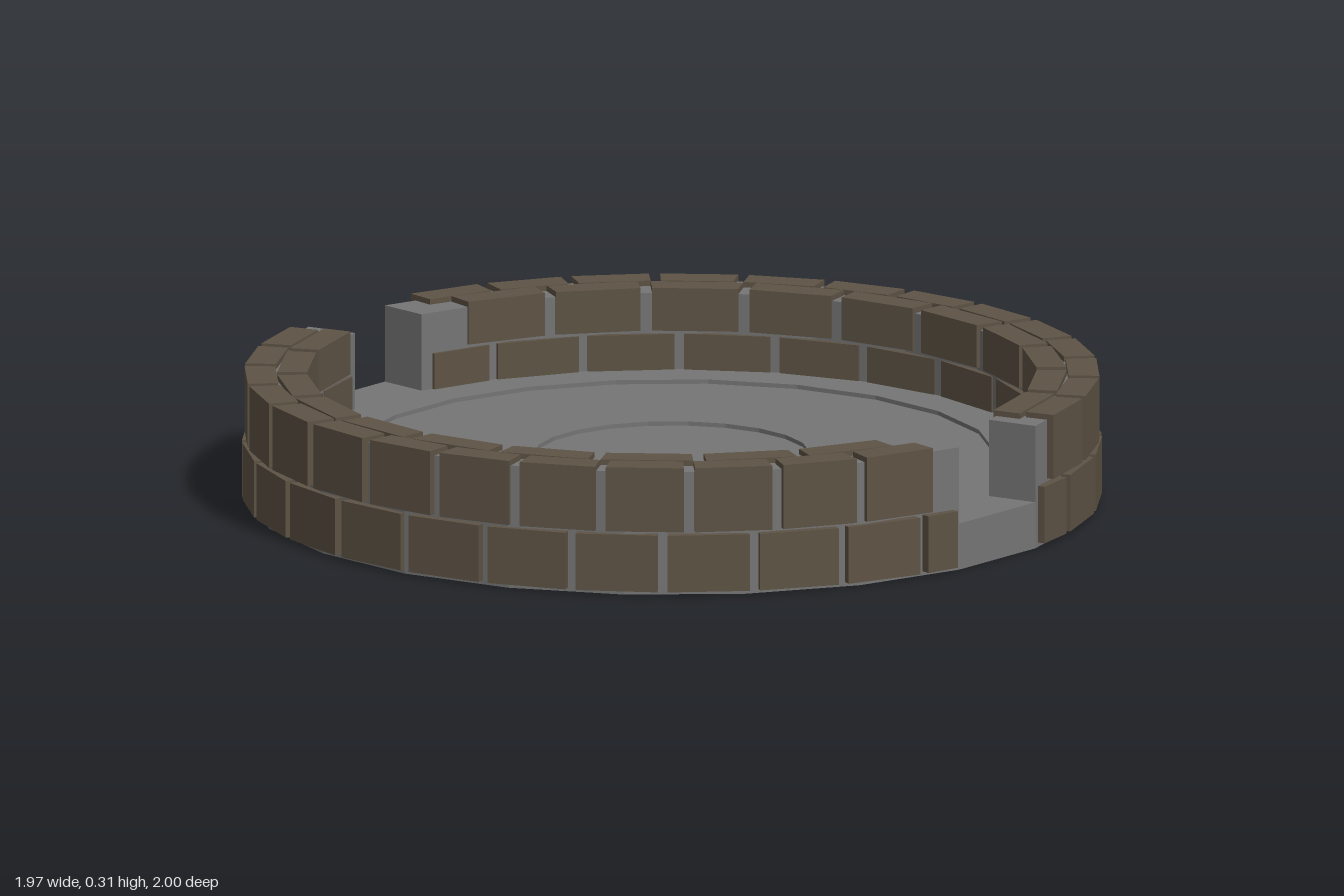
import * as THREE from 'three';

const SIDES = 22;
const STEP = (Math.PI * 2) / SIDES;
const rad = (d) => (d * Math.PI) / 180;

const stone = new THREE.MeshStandardMaterial({ color: 0x757575, flatShading: true });
const brick = new THREE.MeshStandardMaterial({ color: 0x5e5345, flatShading: true });

// Arc-shaped block between two radii and two heights; angle 0 points to +z
function sector(r0, r1, a0, a1, y0, y1, segments = 1) {
  const at = (r, i) => {
    const a = a0 + ((a1 - a0) * i) / segments;
    return new THREE.Vector2(r * Math.sin(a), -r * Math.cos(a));
  };
  const points = [];
  for (let i = 0; i <= segments; i++) points.push(at(r1, i));
  for (let i = segments; i >= 0; i--) points.push(at(r0, i));
  const geometry = new THREE.ExtrudeGeometry(new THREE.Shape(points), { depth: y1 - y0, bevelEnabled: false });
  return geometry.rotateX(-Math.PI / 2).translate(0, y0, 0);
}

// One course of bricks; joints are the boundary angles in degrees
function course(name, joints, r0, r1, y0, y1, gap) {
  const group = new THREE.Group();
  group.name = name;
  const half = gap / 2 / r1;
  for (let i = 0; i < joints.length - 1; i++) {
    const geometry = sector(r0, r1, rad(joints[i]) + half, rad(joints[i + 1]) - half, y0, y1);
    const mesh = new THREE.Mesh(geometry, brick);
    mesh.name = 'brick';
    group.add(mesh);
  }
  return group;
}

// Evenly spaced joints around a middle angle
const even = (count, pitch, middle = 0) =>
  Array.from({ length: count + 1 }, (_, i) => middle + (i - count / 2) * pitch);

function createWall(name) {
  const wall = new THREE.Group();
  wall.name = name;

  // Mortar core, leaving one polygon side open at each end
  const core = new THREE.Mesh(sector(0.86, 0.985, -5 * STEP, 5 * STEP, 0.05, 0.292, 10), stone);
  core.name = 'wallCore';
  wall.add(core);

  // Outer face: two staggered courses
  wall.add(course('outerLowerBricks', [-81.5, ...even(12, 12.4, 0.7), 81.5], 0.93, 1.0, 0.01, 0.145, 0.024));
  wall.add(course('outerUpperBricks', even(13, 12, -0.5), 0.923, 0.995, 0.152, 0.305, 0.026));

  // Inner face: two staggered courses, the upper one reaching further at one end
  wall.add(course('innerLowerBricks', [-80.5, ...even(9, 15.2), 80.5], 0.848, 0.9, 0.09, 0.195, 0.024));
  wall.add(course('innerUpperBricks', even(10, 15.4, -3), 0.848, 0.918, 0.203, 0.305, 0.03));
  return wall;
}

export function createModel() {
  const model = new THREE.Group();
  model.name = 'roundArena';

  // Floor slab with a ring groove and a shallow round recess
  const profile = [
    [0, 0], [0.985, 0], [0.985, 0.11],
    [0.75, 0.11], [0.75, 0.1], [0.66, 0.1], [0.66, 0.11],
    [0.32, 0.11], [0.32, 0.1], [0, 0.1],
  ].map(([x, y]) => new THREE.Vector2(x, y));
  const floor = new THREE.Mesh(new THREE.LatheGeometry(profile, SIDES), stone);
  floor.name = 'floor';
  model.add(floor);

  // Two matching half walls
  const front = createWall('frontWall');
  const back = createWall('backWall');
  back.rotation.y = Math.PI;
  model.add(front, back);
  return model;
}
